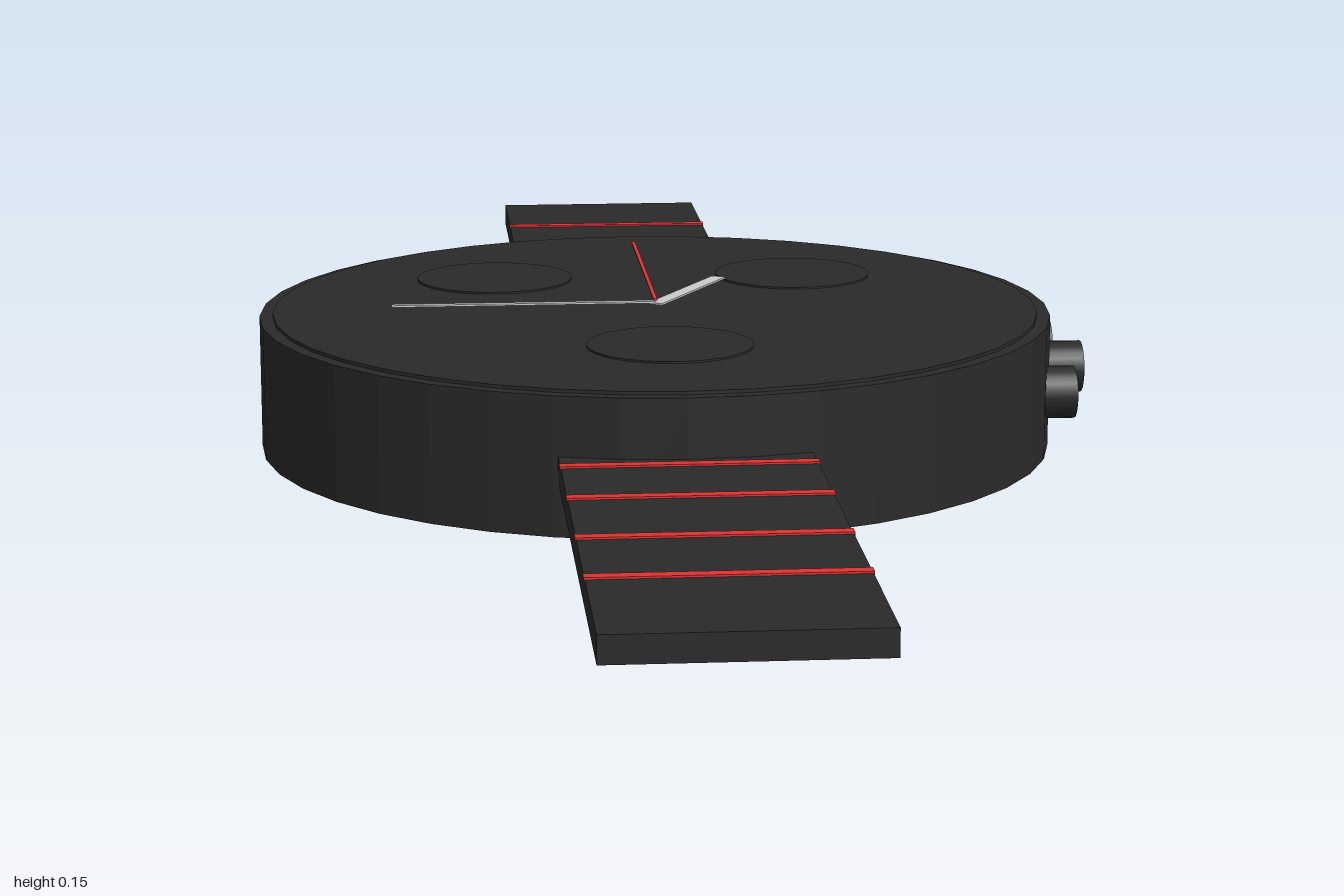
import * as THREE from 'three';

const CX = -0.022, CZ = -0.005; // centre of the case

export function createModel() {
  const group = new THREE.Group();
  const paint = (color, flatShading = false) => new THREE.MeshStandardMaterial({ color, flatShading });
  const black = paint(0x2a2a2a), caseBlack = paint(0x2a2a2a, true);
  const red = paint(0xdd3333), silver = paint(0xcccccc);

  const add = (name, geometry, material, x, y, z) => {
    const mesh = new THREE.Mesh(geometry, material);
    mesh.name = name;
    mesh.position.set(x, y, z);
    group.add(mesh);
    return mesh;
  };
  // upright disc given by its bottom and top heights
  const disc = (name, r, y0, y1, x, z, sides, material) =>
    add(name, new THREE.CylinderGeometry(r, r, y1 - y0, sides), material, x, (y0 + y1) / 2, z);

  // case, face and three subdials
  disc('case', 0.424, 0, 0.142, CX, CZ, 40, caseBlack);
  disc('face', 0.41, 0.14, 0.1455, CX, CZ, 40, caseBlack);
  for (const [x, z] of [[-0.167, -0.17], [0.167, -0.17], [0, 0.195]])
    disc('subdial', 0.086, 0.144, 0.1475, CX + x, z, 32, black);

  // hands: bars pivoting at the centre, angle clockwise from the back
  const hand = (name, length, width, y, angle, material) => {
    const geometry = new THREE.BoxGeometry(width, 0.002, length);
    geometry.translate(0, 0, -length / 2);
    add(name, geometry, material, CX, y, 0).rotation.y = -angle;
  };
  hand('hourHand', 0.163, 0.016, 0.149, Math.PI / 6, silver);
  hand('minuteHand', 0.283, 0.008, 0.1515, -Math.PI / 2, silver);
  hand('secondHand', 0.335, 0.004, 0.1535, 0, red);

  // straps with raised stripes
  for (const [name, side, stripes] of [
    ['frontStrap', 1, [0.44, 0.56, 0.70, 0.83]],
    ['backStrap', -1, [0.45, 0.57, 0.71, 0.84]],
  ]) {
    const x = CX + side * -0.001;
    add(name, new THREE.BoxGeometry(0.25, 0.026, 0.62), black, x, 0.068, side * 0.69);
    for (const z of stripes)
      add('strapStripe', new THREE.BoxGeometry(0.252, 0.004, 0.013), red, x, 0.081, side * z);
  }

  // crown and two push buttons on the left side
  const knob = (name, end, y, z) => {
    const start = 0.34;
    add(name, new THREE.CylinderGeometry(0.028, 0.028, end - start, 24), black, (start + end) / 2, y, z)
      .rotation.z = Math.PI / 2;
  };
  knob('crown', 0.443, 0.071, -0.005);
  knob('frontButton', 0.418, 0.065, 0.092);
  knob('backButton', 0.427, 0.075, -0.108);

  return group;
}
